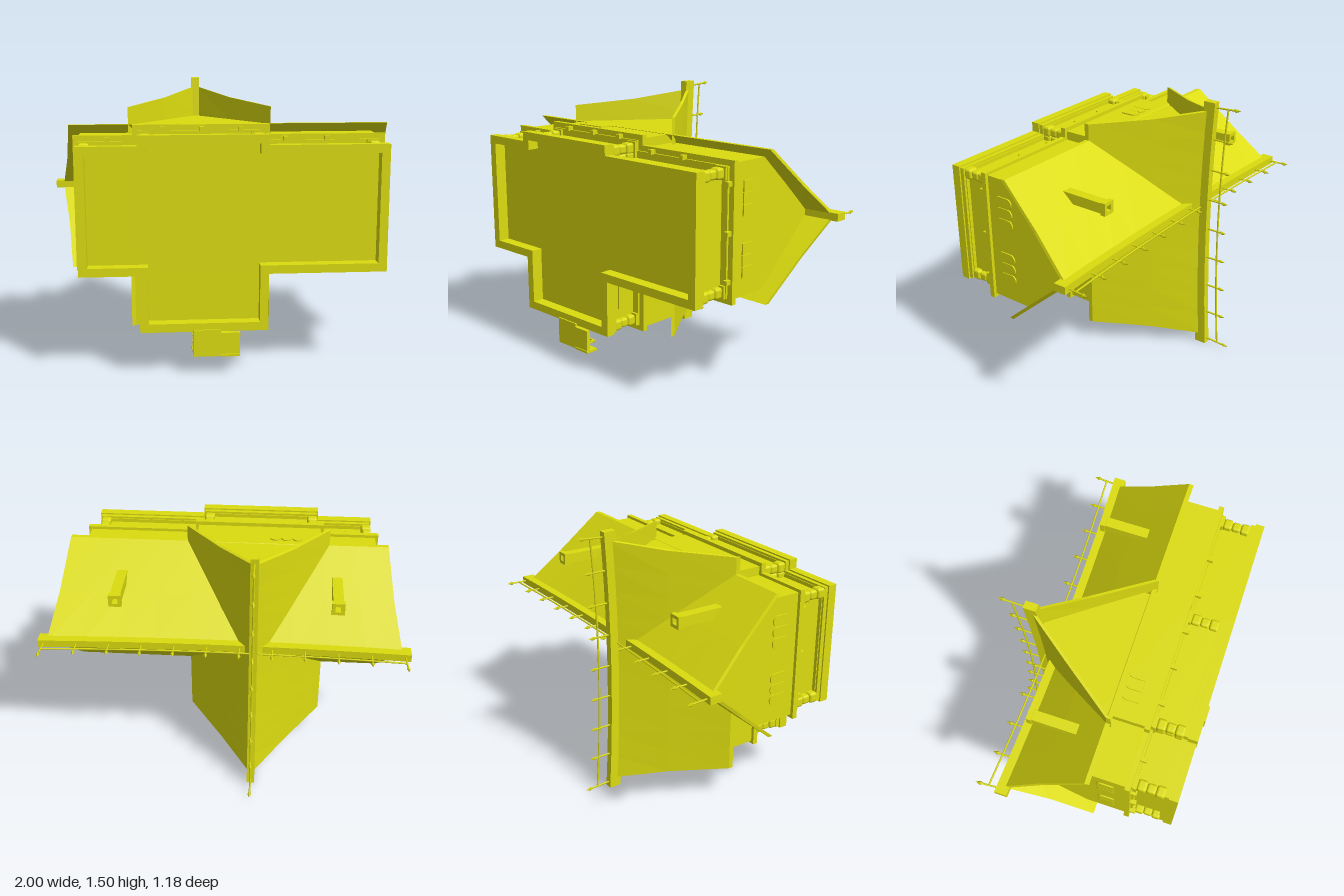
import * as THREE from 'three';
import { RoundedBoxGeometry } from 'three/addons/geometries/RoundedBoxGeometry.js';

// The house lies on its back wall: its own "up" points along -z.
const yellow = new THREE.MeshStandardMaterial({ color: 0xdcdc10 });
yellow.name = 'yellow';

function add(parent, name, geometry, x = 0, y = 0, z = 0) {
  const mesh = new THREE.Mesh(geometry, yellow);
  mesh.name = name;
  mesh.position.set(x, y, z);
  parent.add(mesh);
  return mesh;
}
const box = (parent, name, x0, x1, y0, y1, z0, z1) =>
  add(parent, name, new THREE.BoxGeometry(x1 - x0, y1 - y0, z1 - z0), (x0 + x1) / 2, (y0 + y1) / 2, (z0 + z1) / 2);

// Cross-shaped floor plan, grown or shrunk by d
const MAIN = [-0.82, 0.8, 0.535, 1.226], CROSS = [-0.51, 0.18, 0.23, 1.28];
function plan(d) {
  const [a0, a1, b0, b1] = MAIN.map((v, i) => v + (i % 2 ? d : -d));
  const [c0, c1, e0, e1] = CROSS.map((v, i) => v + (i % 2 ? d : -d));
  return [[c0, e0], [c1, e0], [c1, b0], [a1, b0], [a1, b1], [c1, b1],
    [c1, e1], [c0, e1], [c0, b1], [a0, b1], [a0, b0], [c0, b0]].map(p => new THREE.Vector2(...p));
}
function slab(parent, name, d, z0, z1, hole) {
  const shape = new THREE.Shape(plan(d));
  if (hole !== undefined) shape.holes.push(new THREE.Path(plan(hole)));
  add(parent, name, new THREE.ExtrudeGeometry(shape, { depth: z1 - z0, bevelEnabled: false }), 0, 0, z0);
}

// Saddle roof with sagging ridge and flared gable ends, along x
function roofGeometry({ lengths, width, eave, ridge, sag }) {
  const n = 10, ts = [0, 0.52, 1, 0.52, 0], sides = [1, 1, 0, -1, -1], pos = [], idx = [];
  for (let i = 0; i <= n; i++) {
    const u = -1 + 2 * i / n;
    for (let j = 0; j < 10; j++) {
      const k = j < 5 ? j : 9 - j, t = ts[k];
      const h = eave + (ridge - eave) * t - sag * (1 - u * u) * t * t;
      pos.push(u * lengths[Math.round(t * 2)], h - (j < 5 ? 0 : 0.025), sides[k] * width * (1 - t));
    }
  }
  const quad = (a, b, c, d) => idx.push(a, b, c, a, c, d);
  for (let i = 0; i < n; i++) for (let j = 0; j < 10; j++) {
    const k = (j + 1) % 10, a = i * 10, b = a + 10;
    quad(a + j, b + j, b + k, a + k);
  }
  for (let j = 0; j < 4; j++) {
    const e = n * 10;
    quad(e + j, e + 9 - j, e + 8 - j, e + j + 1);
    quad(j, j + 1, 8 - j, 9 - j);
  }
  const g = new THREE.BufferGeometry();
  g.setAttribute('position', new THREE.Float32BufferAttribute(pos, 3));
  g.setIndex(idx);
  const flat = g.toNonIndexed();
  flat.computeVertexNormals();
  return flat;
}

// One wing: gabled walls, roof, ridge beam and ridge railing, along x with y as height
function wing(o) {
  const g = new THREE.Group();
  const wallTop = o.ridge - (o.ridge - o.eave) * o.wallHalf / o.width - 0.015;
  const s = new THREE.Shape([[-o.wallHalf, -0.32], [o.wallHalf, -0.32], [o.wallHalf, wallTop],
    [0, o.ridge - 0.035], [-o.wallHalf, wallTop]].map(p => new THREE.Vector2(...p)));
  const wall = new THREE.ExtrudeGeometry(s, { depth: o.wallLength, bevelEnabled: false });
  wall.translate(0, 0, -o.wallLength / 2).rotateY(Math.PI / 2);
  add(g, 'upperWalls', wall, o.wallShift);
  add(g, 'roof', roofGeometry(o));

  const half = o.beamHalf, dip = x => o.sag * (1 - (x / half) ** 2);
  const beam = new THREE.BoxGeometry(2 * half, 0.068, 0.042, 10, 1, 1);
  const p = beam.attributes.position;
  for (let i = 0; i < p.count; i++) p.setY(i, p.getY(i) - dip(p.getX(i)));
  beam.computeVertexNormals();
  add(g, 'ridgeBeam', beam, 0, o.beamTop - 0.034);

  const pts = [];
  for (let i = 0; i <= 10; i++) {
    const x = (i / 5 - 1) * (half - 0.03);
    pts.push(new THREE.Vector3(x, o.rail - dip(x) * 1.3, 0));
  }
  add(g, 'ridgeRail', new THREE.TubeGeometry(new THREE.CatmullRomCurve3(pts), 20, 0.005, 6));
  for (let i = 0; i < o.spikes; i++) {
    const x = (2 * i / (o.spikes - 1) - 1) * (half - 0.03);
    const end = i === 0 || i === o.spikes - 1;
    const base = o.beamTop - dip(x) - 0.01, top = o.rail - dip(x) * 1.3 + (end ? 0.075 : 0.055);
    const spike = new THREE.Group();
    spike.name = 'ridgeSpike';
    spike.position.set(x, base, 0);
    spike.rotation.z = end ? -Math.sign(x) * 0.06 : 0;
    const len = top - base;
    add(spike, 'spikeRod', new THREE.CylinderGeometry(0.005, 0.005, len - 0.02, 6), 0, (len - 0.02) / 2);
    add(spike, 'spikeTip', new THREE.ConeGeometry(0.011, 0.028, 4), 0, len - 0.014);
    add(spike, 'spikeCollar', new THREE.CylinderGeometry(0.011, 0.005, 0.012, 4), 0, len - 0.034);
    g.add(spike);
  }
  return g;
}

// Thin plate on a wall, its top pointing along -z
function plate(parent, name, shape, at, normal) {
  const mesh = add(parent, name, new THREE.ExtrudeGeometry(shape, { depth: 0.007, bevelEnabled: false, curveSegments: 10 }), ...at);
  const up = new THREE.Vector3(0, 0, -1), n = new THREE.Vector3(...normal);
  mesh.quaternion.setFromRotationMatrix(new THREE.Matrix4().makeBasis(up.clone().cross(n), up, n));
}
function arch(cx) {
  const s = new THREE.Shape(), r = 0.029;
  s.moveTo(cx - r, 0);
  s.lineTo(cx + r, 0);
  s.lineTo(cx + r, 0.064);
  s.absarc(cx, 0.064, r, 0, Math.PI, false);
  s.lineTo(cx - r, 0);
  return s;
}
function tripleWindow(parent, at, normal) {
  for (const c of [-0.061, 0, 0.061]) plate(parent, 'archedWindow', arch(c), at, normal);
}

export function createModel() {
  const house = new THREE.Group();
  house.name = 'house';

  // Foundation rim, floor, ground storey and ledge
  slab(house, 'foundation', -0.01, 0.528, 0.577, -0.055);
  slab(house, 'foundationTop', -0.018, 0.505, 0.528, -0.055);
  slab(house, 'floor', -0.03, 0.5, 0.512);
  slab(house, 'groundWalls', -0.05, 0.33, 0.503);
  slab(house, 'cornice', -0.012, 0.334, 0.348);
  slab(house, 'ledge', 0.018, 0.308, 0.336);

  // Two crossing wings
  const main = wing({ lengths: [0.877, 0.91, 0.957], width: 0.397, eave: -0.115, ridge: 0.335, sag: 0.025,
    wallHalf: 0.3455, wallLength: 1.62, wallShift: -0.01, beamHalf: 1, beamTop: 0.36, rail: 0.405, spikes: 12 });
  main.name = 'mainWing';
  main.rotation.x = -Math.PI / 2;
  main.position.y = 0.8825;
  const cross = wing({ lengths: [0.62, 0.65, 0.7], width: 0.39, eave: -0.118, ridge: 0.42, sag: 0.025,
    wallHalf: 0.345, wallLength: 1.05, wallShift: 0, beamHalf: 0.75, beamTop: 0.44, rail: 0.512, spikes: 9 });
  cross.rotation.y = Math.PI / 2;
  const crossWing = new THREE.Group();
  crossWing.name = 'crossWing';
  crossWing.add(cross);
  crossWing.rotation.x = -Math.PI / 2;
  crossWing.position.set(-0.165, 0.752, 0);
  house.add(main, crossWing);

  // Corner columns of stacked rounded blocks
  const corners = [];
  for (const x of [-0.78, 0.75]) for (const y of [0.58, 1.18]) corners.push([x, y]);
  for (const x of [-0.465, 0.133]) for (const y of [0.278, 1.228]) corners.push([x, y]);
  for (const x of [-0.465, 0.133]) for (const y of [0.58, 1.18]) corners.push([x, y]);
  for (const [x, y] of corners) {
    [0.482, 0.433, 0.384].forEach((z, i) =>
      add(house, 'columnBlock', new RoundedBoxGeometry(i === 1 ? 0.05 : 0.058, i === 1 ? 0.05 : 0.058, 0.05, 3, 0.014), x, y, z));
    box(house, 'columnCapital', x - 0.034, x + 0.034, y - 0.034, y + 0.034, 0.342, 0.361);
  }

  // Beam ends beneath the ledge
  const beamEnd = (x, y) => box(house, 'beamEnd', x - 0.012, x + 0.012, y - 0.012, y + 0.012, 0.33, 0.368);
  for (const x of [-0.66, 0.28, 0.5]) { beamEnd(x, 1.222); beamEnd(x, 0.539); }
  for (const x of [-0.37, -0.165, 0.04]) { beamEnd(x, 1.276); beamEnd(x, 0.234); }
  for (const y of [0.635, 0.8825, 1.13]) { beamEnd(0.796, y); beamEnd(-0.816, y); }

  // Windows
  for (const y of [0.723, 1.042]) {
    tripleWindow(house, [0.8, y, 0.245], [1, 0, 0]);
    tripleWindow(house, [-0.82, y, 0.245], [-1, 0, 0]);
  }
  tripleWindow(house, [-0.32, 1.28, 0.238], [0, 1, 0]);
  tripleWindow(house, [-0.32, 0.23, 0.238], [0, -1, 0]);
  const halfRound = new THREE.Shape().absellipse(0, 0, 0.082, 0.098, 0, Math.PI, false, 0);
  plate(house, 'halfRoundWindow', halfRound, [0.13, 0.44, 0.46], [1, 0, 0]);
  plate(house, 'halfRoundWindow', halfRound, [-0.46, 0.44, 0.46], [-1, 0, 0]);

  // Hollow chimneys on one slope
  const square = r => [[-r, -r], [r, -r], [r, r], [-r, r]].map(p => new THREE.Vector2(...p));
  for (const x of [-0.602, 0.575]) {
    for (const [name, r, z0, z1] of [['chimney', 0.028, -0.27, -0.02], ['chimneyCap', 0.034, -0.293, -0.265]]) {
      const s = new THREE.Shape(square(r));
      s.holes.push(new THREE.Path(square(0.016)));
      add(house, name, new THREE.ExtrudeGeometry(s, { depth: z1 - z0, bevelEnabled: false }), x, 1.13, z0);
    }
  }

  // Porch with side steps and railing, in front of the door
  box(house, 'porch', -0.225, -0.08, 0.105, 0.25, 0.51, 0.585);
  for (let i = 0; i < 4; i++)
    box(house, 'step', -0.08 + i * 0.025, -0.055 + i * 0.025, 0.12, 0.235, 0.52 + i * 0.017, 0.592);
  box(house, 'door', -0.215, -0.115, 0.272, 0.284, 0.37, 0.505);
  for (const y of [0.112, 0.152, 0.192, 0.232]) box(house, 'railPost', -0.225, -0.217, y - 0.004, y + 0.004, 0.46, 0.512);
  box(house, 'sideRail', -0.226, -0.216, 0.105, 0.24, 0.455, 0.463);
  for (const x of [-0.22, -0.15, -0.085]) box(house, 'railPost', x - 0.006, x + 0.006, 0.105, 0.117, 0.445, 0.512);
  box(house, 'frontRail', -0.232, -0.075, 0.103, 0.117, 0.445, 0.455);
  box(house, 'stairRail', -0.08, 0.02, 0.105, 0.117, 0.52, 0.592);

  return house;
}
